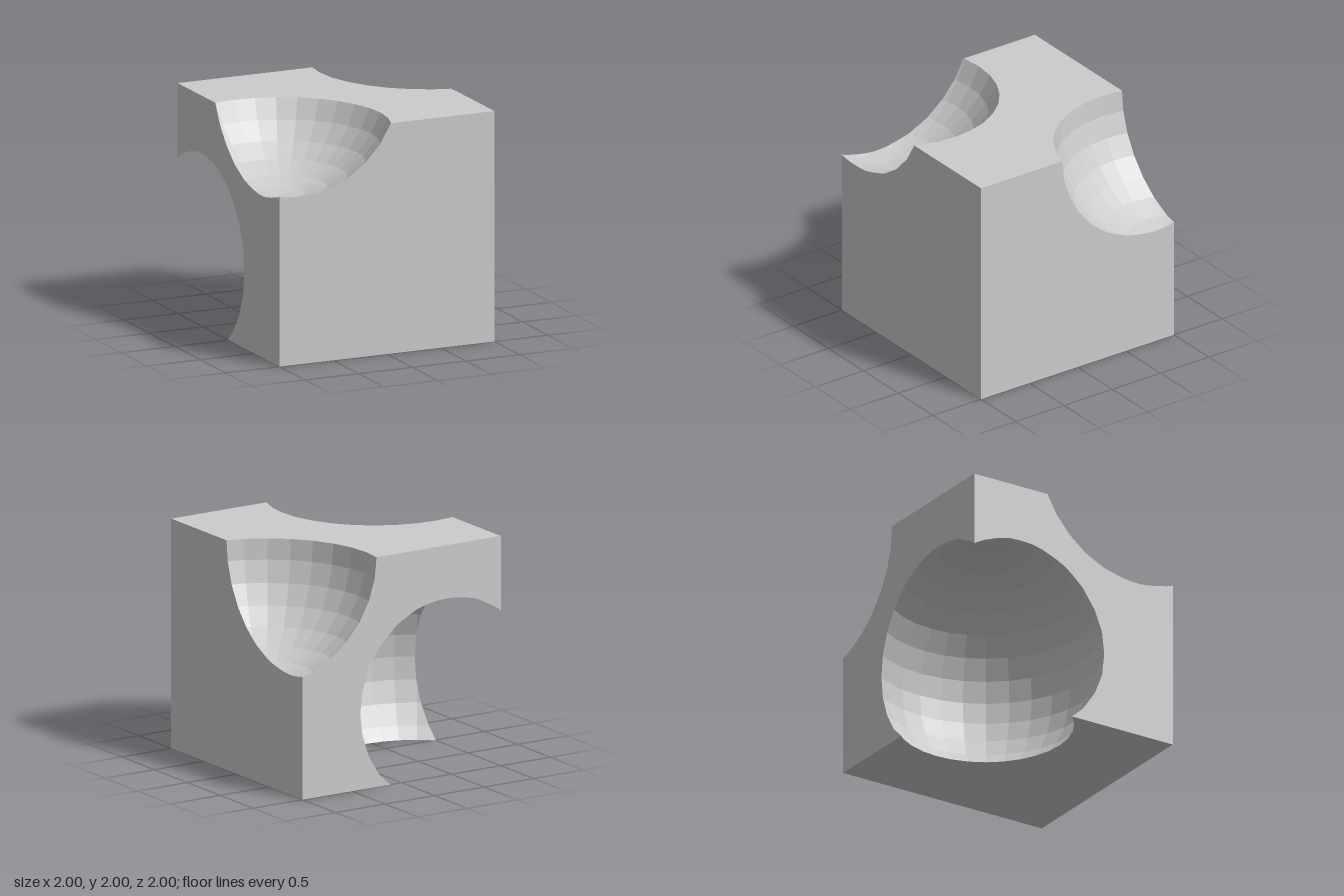
import * as THREE from 'three';

// Block spans -1..1 on each axis (lifted to stand on y = 0).
// Each scoop is a faceted unit sphere that swallows one corner of the block.
const SCOOPS = [
  { name: 'frontTopScoop', corner: [-1, 1, 1], centre: [-0.81, 1.385, 0.64] },
  { name: 'backTopScoop', corner: [1, 1, -1], centre: [1.233, 1.015, -0.81] },
  { name: 'backBottomScoop', corner: [-1, -1, -1], centre: [-0.46, -0.34, -0.53] },
];

// Keep the part of a polygon where sign * p[axis] <= 1
function clip(poly, axis, sign) {
  const out = [];
  poly.forEach((p, i) => {
    const q = poly[(i + 1) % poly.length];
    const dp = 1 - sign * p[axis];
    const dq = 1 - sign * q[axis];
    if (dp >= 0) out.push(p);
    if (dp * dq < 0) {
      const t = dp / (dp - dq);
      const cut = p.map((c, k) => c + (q[k] - c) * t);
      cut[axis] = sign;
      out.push(cut);
    }
  });
  return out;
}

// Polygons of the sphere wall that lie inside the block, facing inward
function scoopPolygons({ corner, centre }) {
  const pos = new THREE.SphereGeometry(1, 32, 16).translate(...centre)
    .toNonIndexed().attributes.position;
  const polys = [];
  for (let i = 0; i < pos.count; i += 3) {
    let poly = [i + 2, i + 1, i].map(j => [pos.getX(j), pos.getY(j), pos.getZ(j)]);
    for (let axis = 0; axis < 3; axis++) poly = clip(poly, axis, corner[axis]);
    if (poly.length > 2) polys.push(poly);
  }
  return polys;
}

// Outline of one block face, with each swallowed corner replaced by the scoop's rim
function faceTriangles(axis, sign, scoops) {
  const u = (axis + 1) % 3, v = (axis + 2) % 3;
  const square = [[-1, -1], [1, -1], [1, 1], [-1, 1]];
  const outline = [];
  square.forEach((c, i) => {
    const scoop = scoops.find(s =>
      s.corner[axis] === sign && s.corner[u] === c[0] && s.corner[v] === c[1]);
    if (!scoop) {
      outline.push(new THREE.Vector2(...c));
      return;
    }
    const prev = square[(i + 3) % 4], next = square[(i + 1) % 4];
    // angle about the corner, from the incoming edge to the outgoing one
    const along = (p, end) => (p.x - c[0]) * (end[0] - c[0]) + (p.y - c[1]) * (end[1] - c[1]);
    const angle = p => Math.atan2(along(p, next), along(p, prev));
    scoop.polys.flat()
      .filter(p => Math.abs(p[axis] - sign) < 1e-9)
      .map(p => new THREE.Vector2(p[u], p[v]))
      .sort((a, b) => angle(a) - angle(b))
      .filter((p, k, all) => k === 0 || p.distanceTo(all[k - 1]) > 1e-5)
      .forEach(p => outline.push(p));
  });
  return THREE.ShapeUtils.triangulateShape(outline, []).map(tri => {
    const pts = tri.map(k => {
      const p = [0, 0, 0];
      p[axis] = sign;
      p[u] = outline[k].x;
      p[v] = outline[k].y;
      return p;
    });
    return sign > 0 ? pts : pts.reverse();
  });
}

// Fan-triangulated, flat-shaded mesh from convex polygons
function polygonMesh(name, polys, material) {
  const coords = [];
  for (const p of polys) {
    for (let i = 1; i < p.length - 1; i++) coords.push(...p[0], ...p[i], ...p[i + 1]);
  }
  const geometry = new THREE.BufferGeometry();
  geometry.setAttribute('position', new THREE.Float32BufferAttribute(coords, 3));
  geometry.computeVertexNormals();
  const mesh = new THREE.Mesh(geometry, material);
  mesh.name = name;
  mesh.position.y = 1;
  return mesh;
}

export function createModel() {
  const group = new THREE.Group();
  group.name = 'scoopedBlock';
  const material = new THREE.MeshStandardMaterial({ color: 0xcccccc, flatShading: true });
  const scoops = SCOOPS.map(s => ({ ...s, polys: scoopPolygons(s) }));

  // Hollow spherical walls
  for (const s of scoops) group.add(polygonMesh(s.name, s.polys, material));

  // Flat block faces
  const names = [['leftFace', 'rightFace'], ['topFace', 'bottomFace'], ['frontFace', 'backFace']];
  names.forEach((pair, axis) => pair.forEach((name, i) => {
    group.add(polygonMesh(name, faceTriangles(axis, i ? -1 : 1, scoops), material));
  }));
  return group;
}
